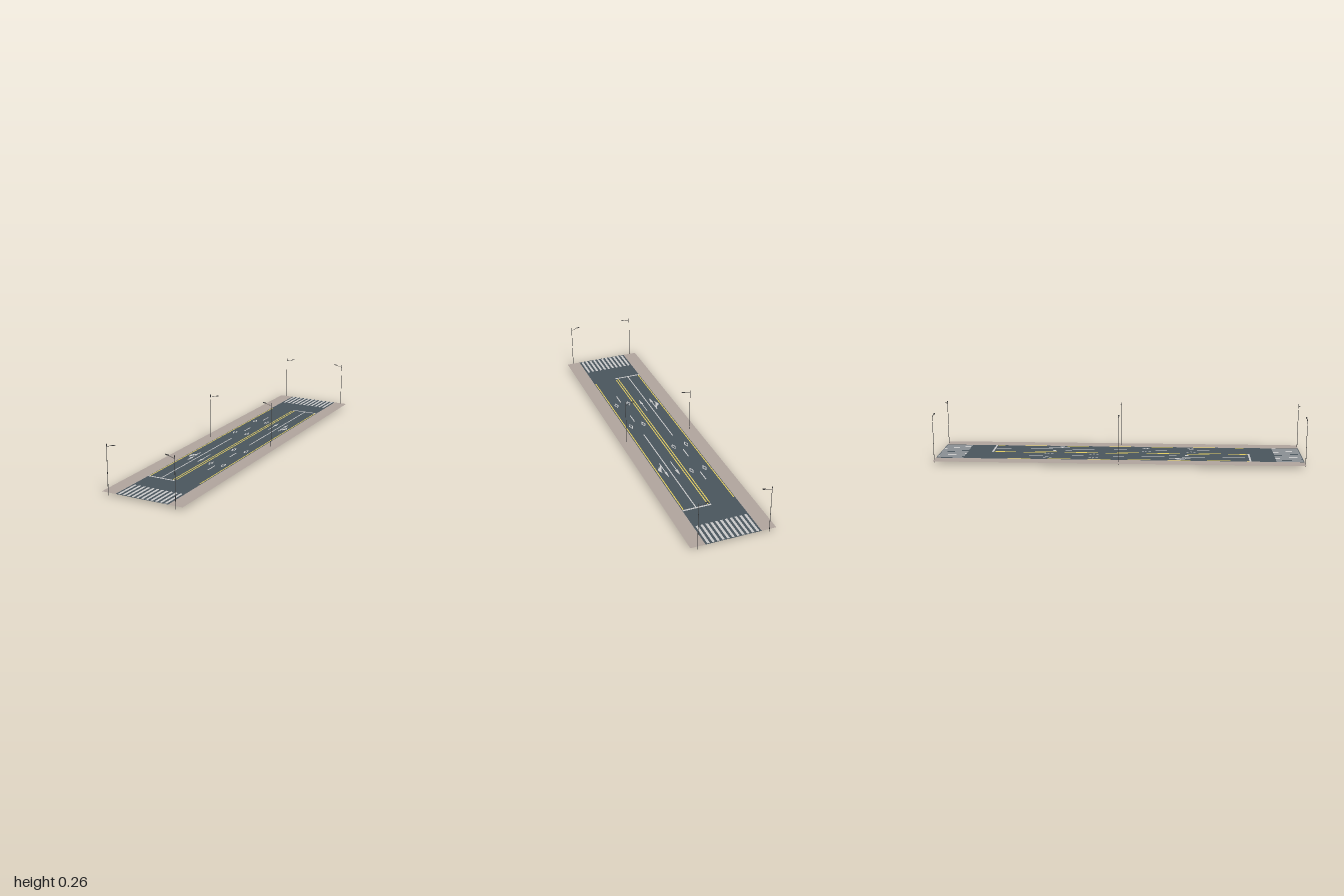
import * as THREE from 'three';

const ROAD_Y = 0.0155;
const MARK_Y = 0.0163;
const END = 0.994;

const material = (color) => new THREE.MeshStandardMaterial({ color, side: THREE.DoubleSide });

export function createModel() {
  const model = new THREE.Group();
  const asphalt = material(0x4b565e);
  const paving = material(0xb2a69f);
  const white = material(0xcccccc);
  const yellow = material(0xe6d060);
  const metal = material(0x3a3a3a);

  // flat rectangle on the ground between two x and two z limits
  function strip(parent, name, mat, x0, x1, z0, z1, y = MARK_Y) {
    const mesh = new THREE.Mesh(new THREE.PlaneGeometry(x1 - x0, z1 - z0).rotateX(-Math.PI / 2), mat);
    mesh.position.set((x0 + x1) / 2, y, (z0 + z1) / 2);
    mesh.name = name;
    parent.add(mesh);
  }

  // flat outline on the ground: points are x and distance ahead (towards -z)
  function decal(parent, name, points, x, z, hole) {
    const shape = new THREE.Shape(points.map(([px, py]) => new THREE.Vector2(px, py)));
    if (hole) shape.holes.push(new THREE.Path(hole.map(([px, py]) => new THREE.Vector2(px, py))));
    const mesh = new THREE.Mesh(new THREE.ShapeGeometry(shape).rotateX(-Math.PI / 2), white);
    mesh.position.set(x, MARK_Y, z);
    mesh.name = name;
    parent.add(mesh);
  }

  // ground surfaces
  strip(model, 'road', asphalt, -0.147, 0.147, -END, END, ROAD_Y);
  strip(model, 'leftSidewalk', paving, 0.147, 0.225, -END, END, ROAD_Y);
  strip(model, 'rightSidewalk', paving, -0.225, -0.147, -END, END, ROAD_Y);

  const diamond = (w, l) => [[w, 0], [0, l], [-w, 0], [0, -l]];
  const arrow = [
    [-0.0025, -0.072], [0.0025, -0.072], [0.0025, 0.015], [0.008, 0.015],
    [0, 0.072], [-0.008, 0.015], [-0.0025, 0.015],
  ];
  const turn = [
    [0.0025, -0.04], [0.016, -0.012], [0.016, -0.025], [0.031, 0.005],
    [0.016, 0.038], [0.016, 0.018], [0.0025, -0.015],
  ];

  // markings of one direction of travel; the other is the same turned half round
  function carriageway(name) {
    const lane = new THREE.Group();
    lane.name = name;
    strip(lane, 'centreLine', yellow, 0.004, 0.010, -0.70, 0.69);
    strip(lane, 'edgeLine', yellow, 0.137, 0.143, -0.70, 0.69);
    strip(lane, 'stopLine', white, -0.008, 0.145, -0.712, -0.702);
    strip(lane, 'laneLine', white, 0.070, 0.076, -0.70, 0.035);
    strip(lane, 'laneDash', white, 0.070, 0.076, 0.185, 0.26);
    strip(lane, 'laneDash', white, 0.070, 0.076, 0.42, 0.495);
    for (const x of [0.035, 0.109]) {
      for (const z of [0.142, 0.393]) {
        decal(lane, 'diamondMark', diamond(0.012, 0.028), x, z, diamond(0.006, 0.016));
      }
    }
    decal(lane, 'straightArrow', arrow, 0.037, -0.343);
    decal(lane, 'straightArrow', arrow, 0.099, -0.343);
    decal(lane, 'turnArrow', turn, 0.099, -0.325);
    // crossing stripes
    for (let i = 0; i < 11; i++) {
      const x = -0.13 + i * 0.026;
      strip(lane, 'crossingStripe', white, x - 0.0065, x + 0.0065, -0.99, -0.845);
    }
    return lane;
  }
  const outbound = carriageway('leftCarriageway');
  const inbound = carriageway('rightCarriageway');
  inbound.rotation.y = Math.PI;
  model.add(outbound, inbound);

  // lamp post with its arm reaching towards -x
  function lampPost() {
    const post = new THREE.Group();
    post.name = 'lampPost';
    const add = (name, geometry, x, y, tilt = 0) => {
      const mesh = new THREE.Mesh(geometry, metal);
      mesh.position.set(x, y, 0);
      mesh.rotation.z = tilt;
      mesh.name = name;
      post.add(mesh);
    };
    add('pole', new THREE.CylinderGeometry(0.0012, 0.0015, 0.25, 8), 0, 0.125);
    add('poleCap', new THREE.CylinderGeometry(0.002, 0.002, 0.013, 8), 0, 0.2555);
    const arm = new THREE.LineCurve3(new THREE.Vector3(0, 0.247, 0), new THREE.Vector3(-0.037, 0.257, 0));
    add('arm', new THREE.TubeGeometry(arm, 1, 0.001, 6), 0, 0);
    add('lampHead', new THREE.BoxGeometry(0.017, 0.0025, 0.007), -0.041, 0.2585, -0.15);
    return post;
  }
  for (const side of [1, -1]) {
    for (const z of [-END, 0, END]) {
      const post = lampPost();
      post.position.set(side * 0.188, 0, z);
      if (side < 0) post.rotation.y = Math.PI;
      model.add(post);
    }
  }
  return model;
}
